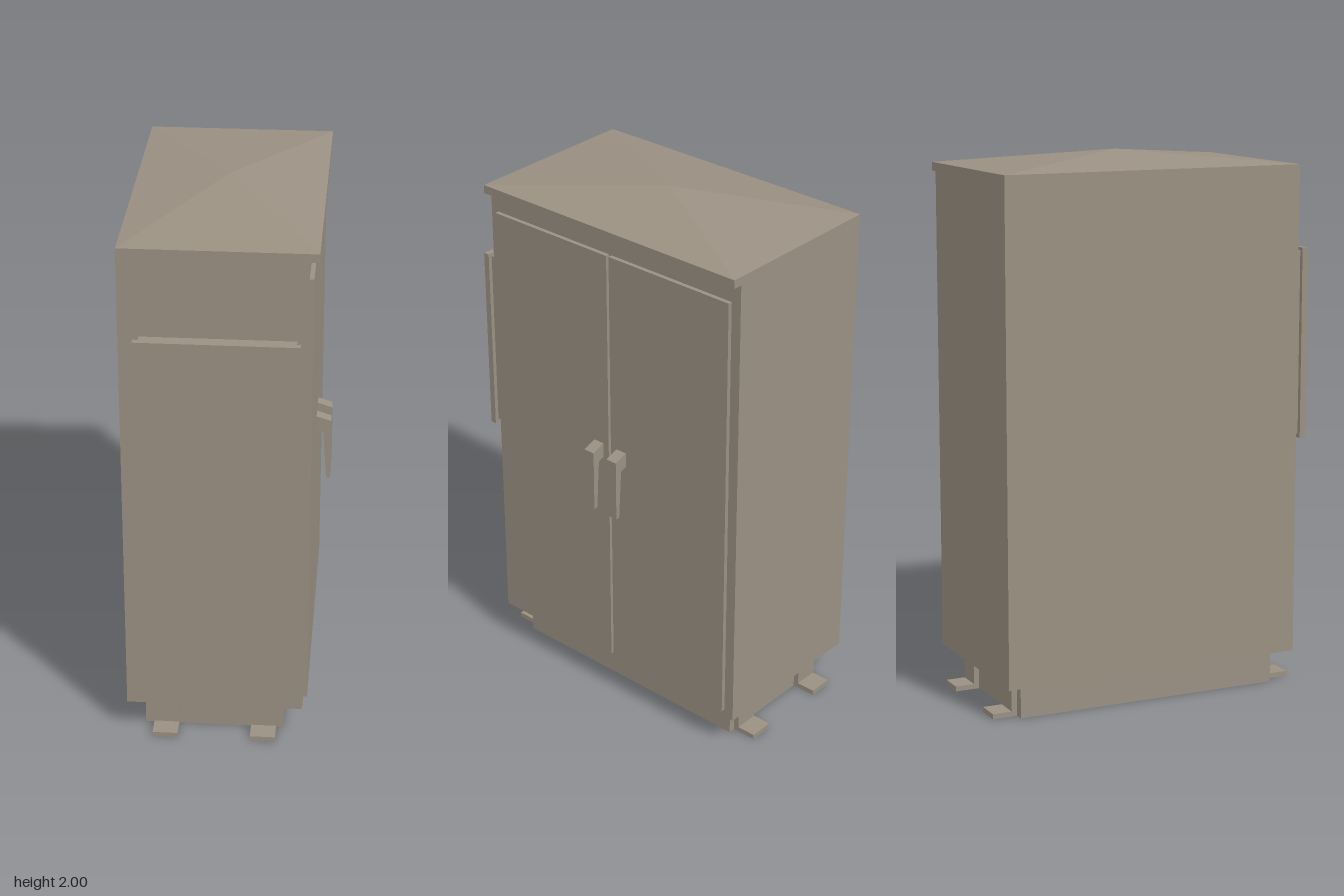
import * as THREE from 'three';

const taupe = new THREE.MeshStandardMaterial({ color: 0x9a9082 });
taupe.name = 'taupe paint';

export function createModel() {
  const cabinet = new THREE.Group();
  cabinet.name = 'cabinet';

  function add(name, geometry) {
    const mesh = new THREE.Mesh(geometry, taupe);
    mesh.name = name;
    cabinet.add(mesh);
    return mesh;
  }

  // Box given by its limits on each axis
  function box(name, x0, x1, y0, y1, z0, z1) {
    const mesh = add(name, new THREE.BoxGeometry(x1 - x0, y1 - y0, z1 - z0));
    mesh.position.set((x0 + x1) / 2, (y0 + y1) / 2, (z0 + z1) / 2);
    return mesh;
  }

  // Upright rectangular tube; limits are [x0, x1, z0, z1]
  function tube(name, outer, inner, y0, y1) {
    const corners = ([x0, x1, z0, z1]) =>
      [[x0, -z1], [x1, -z1], [x1, -z0], [x0, -z0]].map(([x, y]) => new THREE.Vector2(x, y));
    const shape = new THREE.Shape(corners(outer));
    shape.holes.push(new THREE.Path(corners(inner)));
    const geometry = new THREE.ExtrudeGeometry(shape, { depth: y1 - y0, bevelEnabled: false });
    geometry.rotateX(-Math.PI / 2).translate(0, y0, 0);
    return add(name, geometry);
  }

  // Hollow body on an open plinth
  const inside = [-0.297, 0.213, -0.529, 0.487];
  tube('body', [-0.36, 0.286, -0.601, 0.553], inside, 0.13, 1.948);
  tube('plinth', [-0.299, 0.215, -0.531, 0.489], inside, 0, 0.13);

  // Low pyramid roof with an overhanging lip above the doors
  const cone = new THREE.ConeGeometry(Math.SQRT1_2, 0.052, 4, 1).rotateY(Math.PI / 4);
  cone.scale(0.681, 1, 1.154);
  const roofGeometry = cone.toNonIndexed();
  roofGeometry.computeVertexNormals();
  add('roof', roofGeometry).position.set(-0.0195, 1.974, -0.024);
  box('roofLip', 0.286, 0.321, 1.917, 1.948, -0.601, 0.553);

  // Double doors
  box('leftDoor', 0.286, 0.302, 0.163, 1.843, -0.562, -0.026);
  box('rightDoor', 0.286, 0.302, 0.163, 1.843, -0.015, 0.52);

  // Lever handles, drawn in profile
  const lever = new THREE.Shape([
    [0.302, 1.085], [0.302, 1.03], [0.328, 1.02], [0.341, 0.83], [0.356, 0.83], [0.356, 1.067],
  ].map(([x, y]) => new THREE.Vector2(x, y)));
  for (const z of [-0.098, 0.01]) {
    const geometry = new THREE.ExtrudeGeometry(lever, { depth: 0.045, bevelEnabled: false });
    add('doorHandle', geometry).position.z = z;
  }

  // Raised vent box with a cover plate
  box('ventBox', -0.288, 0.25, 0.942, 1.627, 0.553, 0.602);
  box('ventCover', -0.304, 0.265, 0.927, 1.638, 0.602, 0.625);

  // L-shaped anchor brackets at both ends of the plinth
  for (const x of [-0.265, 0.096]) {
    box('frontBracket', x, x + 0.093, 0, 0.115, 0.489, 0.51);
    box('frontAnchorFoot', x, x + 0.093, 0, 0.019, 0.51, 0.583);
    box('backBracket', x, x + 0.093, 0, 0.115, -0.552, -0.531);
    box('backAnchorFoot', x, x + 0.093, 0, 0.019, -0.625, -0.552);
  }

  return cabinet;
}
